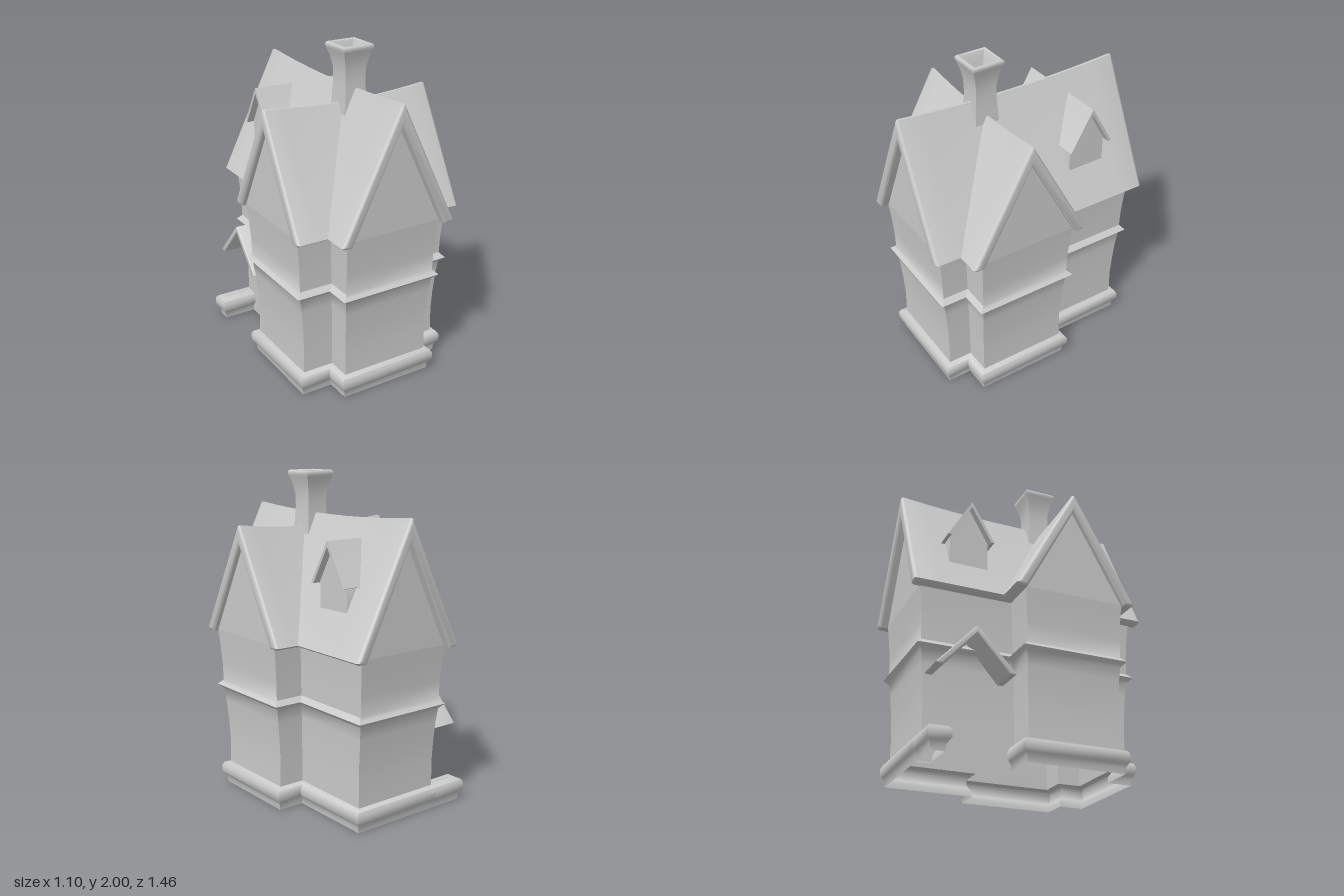
import * as THREE from 'three';
import { toCreasedNormals } from 'three/addons/utils/BufferGeometryUtils.js';

const material = new THREE.MeshStandardMaterial({ color: 0xcccccc, side: THREE.DoubleSide });
const CX = 0.015;   // middle of the long wing in x
const CZ = 0.195;   // middle of the cross wing in z
const EAVE = 1.02;

function addMesh(group, name, geometry, crease = 0.7) {
  const mesh = new THREE.Mesh(toCreasedNormals(geometry, crease), material);
  mesh.name = name;
  group.add(mesh);
  return mesh;
}

// Skin over closed rings of [x, y, z], each counter-clockwise from above
function loft(rings) {
  const n = rings[0].length;
  const index = [];
  for (let i = 0; i < rings.length - 1; i++) {
    for (let j = 0; j < n; j++) {
      const a = i * n + j, b = i * n + (j + 1) % n;
      index.push(a, b, b + n, a, b + n, a + n);
    }
  }
  const geometry = new THREE.BufferGeometry();
  geometry.setAttribute('position', new THREE.Float32BufferAttribute(rings.flat(2), 3));
  geometry.setIndex(index);
  return geometry.toNonIndexed();
}

const rectangle = (cx, cz, hx, hz, y) => [
  [cx - hx, y, cz + hz], [cx + hx, y, cz + hz], [cx + hx, y, cz - hz], [cx - hx, y, cz - hz]];

// Prism of a closed (u, y) outline, centred along z or turned along x
function prism(points, length, bevel, alongX, sag = 0) {
  const shape = new THREE.Shape(points.map(([u, y]) => new THREE.Vector2(u, y)));
  const depth = length - 2 * bevel;
  const geometry = new THREE.ExtrudeGeometry(shape, {
    depth, steps: sag ? 10 : 1, bevelEnabled: bevel > 0, bevelThickness: bevel,
    bevelSize: bevel, bevelOffset: -bevel, bevelSegments: 3 });
  geometry.translate(0, 0, -depth / 2);
  const p = geometry.attributes.position;
  for (let i = 0; i < p.count; i++) {
    const t = p.getZ(i) / (length / 2);
    p.setY(i, p.getY(i) - sag * (1 - t * t) * Math.max(0, (p.getY(i) - EAVE) / 0.7));
  }
  if (alongX) geometry.rotateY(Math.PI / 2);
  return geometry;
}

// Folded roof section with a softened ridge and slightly rounded eaves
function chevron(half, eave, top, thick, foot) {
  const slope = (top - eave) / half;
  const drop = thick * Math.sqrt(1 + slope * slope);
  const inner = half - drop / slope;
  const r = foot * 0.4;
  return [
    [half - r, eave], [half, eave + r * 0.7], [half - r * 0.6, eave + r * 0.6 * slope + r * 0.5],
    [r, top - r * slope], [r * 0.4, top - r * 0.7], [-r * 0.4, top - r * 0.7], [-r, top - r * slope],
    [-half + r * 0.6, eave + r * 0.6 * slope + r * 0.5], [-half, eave + r * 0.7], [-half + r, eave],
    [-inner, eave], [0, top - drop], [inner, eave]];
}

const gable = (half, base, shoulder, top) =>
  [[-half, base], [half, base], [half, shoulder], [0, top], [-half, shoulder]];

// Wall profile: height, outward lean of the wing ends, outward lean of the wing sides
const baseProfile = [
  [0, 0.02, 0.015], [0.035, 0.024, 0.018], [0.055, 0.035, 0.03], [0.07, 0.046, 0.04],
  [0.11, 0.046, 0.04], [0.13, 0.036, 0.03], [0.14, 0.004, 0]];
const wallProfile = [
  ...baseProfile, [0.3, 0.002, 0], [0.42, 0.008, 0.003], [0.55, 0.02, 0.008], [0.63, 0.03, 0.015],
  [0.645, 0.045, 0.03], [0.66, 0.06, 0.045], [0.675, 0.045, 0.03], [0.69, 0.033, 0.015],
  [0.8, 0.036, 0.017], [0.92, 0.045, 0.023], [EAVE, 0.055, 0.03]];

// Cross-shaped floor outline; the doorway wall keeps no plinth
function crossRing([y, end, side]) {
  const hx = 0.285 + side, hz = 0.62 + end;
  const cx = 0.46 + end, cz = 0.28 + side;
  const l = CX - (y < 0.14 ? 0.285 : hx), r = CX + hx;
  const f = CZ + cz, b = CZ - cz;
  return [
    [CX - hx, hz], [r, hz], [r, f], [cx, f], [cx, b], [r, b],
    [r, -hz], [l, -hz], [l, b], [-cx, b], [-cx, f], [CX - hx, f],
  ].map(([x, z]) => [x, y, z]);
}

export function createModel() {
  const house = new THREE.Group();
  house.name = 'house';

  // Walls with plinth and storey band
  addMesh(house, 'walls', loft(wallProfile.map(crossRing)), 0.8);

  // Gable walls under each roof
  addMesh(house, 'longGableWall', prism(gable(0.315, EAVE, 1.05, 1.67), 1.35, 0, false))
    .position.x = CX;
  addMesh(house, 'crossGableWall', prism(gable(0.31, EAVE, 1.05, 1.6), 1.03, 0, true))
    .position.z = CZ;

  // Sagging main roofs
  addMesh(house, 'longRoof', prism(chevron(0.38, 1.01, 1.79, 0.06, 0.05), 1.46, 0.018, false, 0.03))
    .position.x = CX + 0.005;
  addMesh(house, 'crossRoof', prism(chevron(0.38, 1.01, 1.71, 0.06, 0.05), 1.1, 0.018, true, 0.035))
    .position.z = CZ;

  // Dormers on both slopes, sharing one ridge
  const dormers = new THREE.Group();
  dormers.name = 'dormers';
  dormers.position.set(CX, 0, -0.37);
  addMesh(dormers, 'dormerWalls', prism(gable(0.12, 1.2, 1.42, 1.625), 0.54, 0, true));
  addMesh(dormers, 'dormerRoof', prism(chevron(0.147, 1.39, 1.645, 0.018, 0.01), 0.63, 0, true));
  house.add(dormers);

  // Flared square chimney with a hollow top
  const chimney = [
    [0.078, 1.6], [0.072, 1.68], [0.066, 1.78], [0.068, 1.86], [0.08, 1.92], [0.095, 1.965],
    [0.1, 1.98], [0.098, 1.993], [0.09, 2], [0.08, 1.995], [0.07, 1.97], [0.055, 1.9], [0.001, 1.89]];
  addMesh(house, 'chimney', loft(chimney.map(([h, y]) => rectangle(CX, CZ, h, h, y))));

  // Porch roof over the side door
  addMesh(house, 'porchRoof', prism(chevron(0.235, 0.49, 0.75, 0.03, 0.02), 0.24, 0.006, true))
    .position.set(-0.34, 0, -0.385);

  // Low curb beside the door, continuing the plinth
  const curb = baseProfile.map(([y, e]) => rectangle(-0.36, -0.6, 0.1 + e, 0.02 + e, y));
  curb.push(rectangle(-0.36, -0.6, 0.09, 0.001, 0.14));
  addMesh(house, 'porchCurb', loft(curb));

  return house;
}
